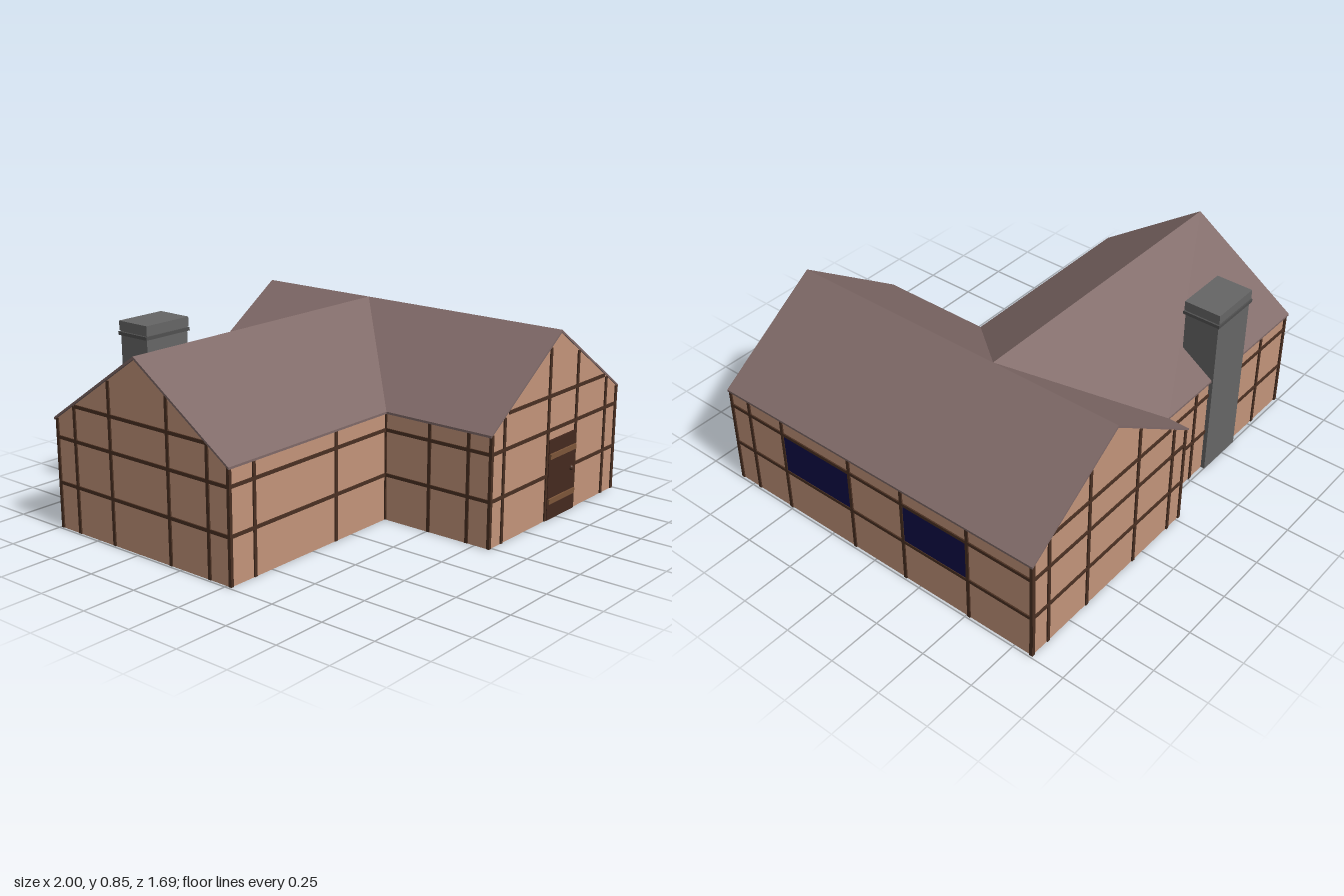
import * as THREE from 'three';

const mat = (color, side = THREE.FrontSide) =>
  new THREE.MeshStandardMaterial({ color, side, flatShading: true });
const WALL = mat(0xc3947a), ROOF = mat(0x806a68, THREE.DoubleSide), TIMBER = mat(0x4a3022),
  GLASS = mat(0x100c48), DOOR = mat(0x45291f), PLANK = mat(0x7c5539), STONE = mat(0x666666),
  DARK_STONE = mat(0x505050);

const EAVE = 0.5, RIDGE = 0.85, HALF = 0.515, WALL_HALF = 0.503;
const MAIN_X = 0.485, SIDE_Z = -0.23;
const slope = (d) => RIDGE - (RIDGE - EAVE) * Math.abs(d) / HALF;

function add(parent, name, geometry, material) {
  const mesh = new THREE.Mesh(geometry, material);
  mesh.name = name;
  parent.add(mesh);
  return mesh;
}

// box given by its limits on each axis
function block(parent, name, material, [x0, x1], [y0, y1], [z0, z1]) {
  const mesh = add(parent, name, new THREE.BoxGeometry(x1 - x0, y1 - y0, z1 - z0), material);
  mesh.position.set((x0 + x1) / 2, (y0 + y1) / 2, (z0 + z1) / 2);
  return mesh;
}

// closed profile across the ridge, extruded from a to b along it
function prism(points, a, b) {
  const shape = new THREE.Shape(points.map(([x, y]) => new THREE.Vector2(x, y)));
  const g = new THREE.ExtrudeGeometry(shape, { depth: b - a, bevelEnabled: false });
  return g.translate(0, 0, a);
}

const wallProfile = [[-WALL_HALF, 0], [WALL_HALF, 0], [WALL_HALF, slope(WALL_HALF) - 0.01],
  [0, RIDGE - 0.01], [-WALL_HALF, slope(WALL_HALF) - 0.01]];
const roofProfile = [[-HALF, EAVE], [-HALF, EAVE - 0.01], [0, RIDGE - 0.012],
  [HALF, EAVE - 0.01], [HALF, EAVE], [0, RIDGE]];

// timber framing on one wall: axis is the wall normal, at its position
function framing(parent, name, axis, at, [from, to], posts, { gable = null } = {}) {
  const group = new THREE.Group();
  group.name = name;
  parent.add(group);
  const w = 0.0075, depth = [at - 0.006, at + 0.006];
  const beam = (label, run, height) => axis === 'z'
    ? block(group, label, TIMBER, run, height, depth)
    : block(group, label, TIMBER, depth, height, run);
  for (const p of [from, ...posts, to]) {
    const top = gable === null ? EAVE - 0.003
      : slope(Math.min(Math.abs(p - gable) + w, WALL_HALF)) - 0.01;
    beam('post', [p - w, p + w], [0.002, top]);
  }
  for (const y of [0.21, 0.415]) beam('rail', [from, to], [y - w, y + w]);
  if (gable !== null) {
    const reach = HALF * (RIDGE - 0.588) / (RIDGE - EAVE);
    beam('gableRail', [gable - reach, gable + reach], [0.57 - w, 0.57 + w]);
  }
}

export function createModel() {
  const house = new THREE.Group();
  house.name = 'house';

  // walls of the two wings
  add(house, 'mainWalls', prism(wallProfile, -0.838, 0.823), WALL).position.x = MAIN_X;
  const sideWalls = prism(wallProfile, -0.988, 0).rotateY(Math.PI / 2);
  add(house, 'sideWalls', sideWalls, WALL).position.z = SIDE_Z;
  // rotation reverses nothing here: the ridge axis z becomes +x

  // main roof
  add(house, 'mainRoof', prism(roofProfile, -0.848, 0.828), ROOF).position.x = MAIN_X;

  // side roof, its inner end cut back along the valleys
  const sideRoof = prism(roofProfile, -1, 0).rotateY(Math.PI / 2);
  const pos = sideRoof.attributes.position;
  for (let i = 0; i < pos.count; i++) {
    if (pos.getX(i) > -0.5) pos.setX(i, MAIN_X - Math.abs(pos.getZ(i)));
  }
  sideRoof.computeVertexNormals();
  add(house, 'sideRoof', sideRoof, ROOF).position.z = SIDE_Z;

  // timber frames
  const L = MAIN_X - WALL_HALF, R = MAIN_X + WALL_HALF;
  const B = SIDE_Z - WALL_HALF, F = SIDE_Z + WALL_HALF;
  framing(house, 'frontGableFrame', 'z', 0.823, [L, R - 0.004], [0.07, 0.41, 0.638, 0.89], { gable: MAIN_X });
  framing(house, 'backGableFrame', 'z', -0.838, [L, R - 0.004], [0.07, 0.32, 0.64, 0.89], { gable: MAIN_X });
  framing(house, 'leftWallFrame', 'x', R, [-0.836, 0.821], [-0.515, -0.17, 0.12, 0.51, 0.71]);
  framing(house, 'innerWallFrame', 'x', L, [F, 0.821], [0.51, 0.71]);
  framing(house, 'innerBackFrame', 'x', L, [-0.836, B], []);
  framing(house, 'sideFrontFrame', 'z', F, [-0.986, L], [-0.85, -0.355]);
  framing(house, 'sideBackFrame', 'z', B, [-0.986, L], [-0.78, -0.26]);
  framing(house, 'sideGableFrame', 'x', -0.988, [B, F], [-0.62, -0.4, -0.06, 0.16], { gable: SIDE_Z });

  // windows
  for (const z of [[0.125, 0.505], [-0.51, -0.175]])
    block(house, 'window', GLASS, [R - 0.01, R + 0.003], [0.215, 0.41], z);

  // door with two planks and a knob
  block(house, 'door', DOOR, [0.416, 0.634], [0.003, 0.37], [0.81, 0.832]);
  for (const y of [0.09, 0.297])
    block(house, 'doorPlank', PLANK, [0.42, 0.63], [y - 0.012, y + 0.012], [0.82, 0.84]);
  add(house, 'doorKnob', new THREE.SphereGeometry(0.012, 12, 8), TIMBER).position.set(0.602, 0.203, 0.834);

  // chimney
  block(house, 'chimneyStack', STONE, [-0.598, -0.357], [0, 0.84], [-0.752, -0.587]);
  block(house, 'chimneyBand', DARK_STONE, [-0.608, -0.349], [0.785, 0.8], [-0.76, -0.579]);
  block(house, 'chimneyCap', STONE, [-0.603, -0.353], [0.805, 0.848], [-0.757, -0.582]);
  return house;
}
